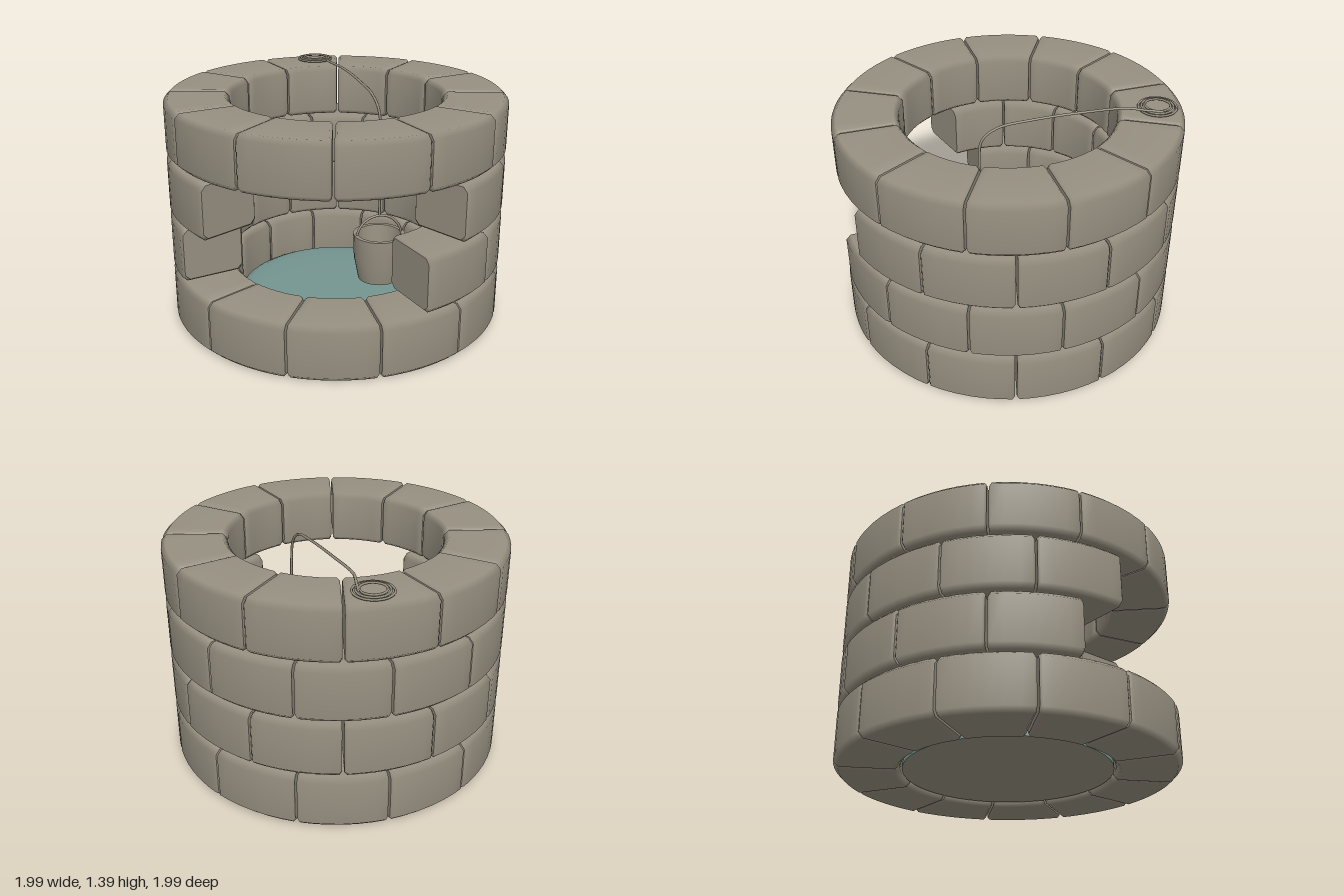
import * as THREE from 'three';

const stone = new THREE.MeshStandardMaterial({ color: 0x979081 });
stone.name = 'warm grey stone';
const water = new THREE.MeshStandardMaterial({ color: 0x759590 });
water.name = 'teal water';

const DEG = Math.PI / 180;
const INNER = 0.62, OUTER = 0.995;

// Chamfered cross-section of a stone, counter-clockwise in (radius, height)
function section(y0, y1, inset) {
  const c = 0.028;
  const a = INNER + inset, b = OUTER - inset, lo = y0 + inset, hi = y1 - inset;
  return [
    [a + c, lo], [b - c, lo], [b, lo + c], [b, hi - c],
    [b - c, hi], [a + c, hi], [a, hi - c], [a, lo + c],
  ];
}

// One curved stone swept between two angles (measured from +z towards +x)
function stoneGeometry(a0, a1, y0, y1) {
  const full = section(y0, y1, 0), end = section(y0, y1, 0.012);
  const rings = [{ t: 0, d: 0.006, s: end }];
  const steps = 6;
  for (let i = 0; i <= steps; i++) {
    const t = i / steps;
    rings.push({ t, d: i === 0 ? 0.02 : i === steps ? -0.02 : 0, s: full });
  }
  rings.push({ t: 1, d: -0.006, s: end });

  const pos = [], idx = [];
  const addRing = ({ t, d, s }) => {
    for (const [r, y] of s) {
      const a = a0 + (a1 - a0) * t + d / r;
      pos.push(r * Math.sin(a), y, r * Math.cos(a));
    }
  };
  rings.forEach(addRing);
  const n = full.length;
  for (let i = 0; i < rings.length - 1; i++) {
    for (let j = 0; j < n; j++) {
      const k = (j + 1) % n;
      const p = i * n + j, q = i * n + k, u = p + n, v = q + n;
      idx.push(p, u, v, p, v, q);
    }
  }
  // Flat end faces use their own vertices
  const startCap = rings.length * n, endCap = startCap + n;
  addRing(rings[0]);
  addRing(rings[rings.length - 1]);
  for (let j = 1; j < n - 1; j++) {
    idx.push(startCap, startCap + j, startCap + j + 1);
    idx.push(endCap, endCap + j + 1, endCap + j);
  }
  const g = new THREE.BufferGeometry();
  g.setAttribute('position', new THREE.Float32BufferAttribute(pos, 3));
  g.setIndex(idx);
  g.computeVertexNormals();
  return g;
}

function add(parent, name, geometry, material = stone) {
  const m = new THREE.Mesh(geometry, material);
  m.name = name;
  parent.add(m);
  return m;
}

const lathe = (points, segments) =>
  new THREE.LatheGeometry(points.map(([x, y]) => new THREE.Vector2(x, y)), segments);

export function createModel() {
  const group = new THREE.Group();
  group.name = 'stoneWell';

  // Four courses of stones; the middle two are broken open at the front
  const courses = [
    { y0: 0, y1: 0.325, start: 0, count: 12 },
    { y0: 0.34, y1: 0.667, start: 15, count: 9 },
    { y0: 0.683, y1: 1.01, start: 30, count: 9 },
    { y0: 1.03, y1: 1.345, start: 15, count: 12 },
  ];
  courses.forEach(({ y0, y1, start, count }, c) => {
    const course = new THREE.Group();
    course.name = 'stoneCourse' + (c + 1);
    for (let i = 0; i < count; i++) {
      const a = start + i * 30;
      add(course, 'stoneBlock', stoneGeometry(a * DEG, (a + 30) * DEG, y0, y1));
    }
    group.add(course);
  });

  // Water with a rounded rim, over a stone floor
  add(group, 'waterSurface', lathe(
    [[0.61, 0.02], [0.61, 0.045], [0.59, 0.075], [0.54, 0.1], [0.45, 0.115], [0.25, 0.12], [0, 0.12]], 48), water);
  const floor = add(group, 'wellFloor', new THREE.CircleGeometry(0.61, 48));
  floor.rotation.x = Math.PI / 2;
  floor.position.y = 0.02;

  // Open bucket with a rim and an arched handle
  const bucket = new THREE.Group();
  bucket.name = 'bucket';
  bucket.position.set(0.225, 0, 0.175);
  add(bucket, 'bucketOutside', lathe([[0.125, 0.2], [0.152, 0.34], [0.157, 0.49]], 28));
  add(bucket, 'bucketRim', lathe([[0.157, 0.49], [0.132, 0.49]], 28));
  add(bucket, 'bucketInside', lathe([[0.132, 0.49], [0.108, 0.225]], 28));
  add(bucket, 'bucketFloor', lathe([[0.108, 0.225], [0, 0.225]], 28));
  add(bucket, 'bucketBase', lathe([[0, 0.2], [0.125, 0.2]], 28));
  const handle = add(bucket, 'bucketHandle', new THREE.TorusGeometry(0.14, 0.008, 6, 24, Math.PI));
  handle.position.y = 0.465;
  group.add(bucket);

  // Rope running from the coil, over the edge and down to the handle
  const ropePath = new THREE.CurvePath();
  const v = (x, y, z) => new THREE.Vector3(x, y, z);
  ropePath.add(new THREE.CatmullRomCurve3([
    v(0.15, 1.365, -0.86), v(0.13, 1.37, -0.76), v(0.112, 1.375, -0.66),
    v(0.15, 1.378, -0.42), v(0.185, 1.355, -0.12), v(0.205, 1.32, 0.07),
    v(0.217, 1.25, 0.155), v(0.225, 1.1, 0.172), v(0.225, 0.6, 0.175),
  ], false, 'centripetal'));
  add(group, 'rope', new THREE.TubeGeometry(ropePath, 70, 0.008, 6));

  // Coil of spare rope lying on the top course
  [0.108, 0.09, 0.072].forEach((r, i) => {
    const loop = add(group, 'ropeCoil', new THREE.TorusGeometry(r, 0.007, 6, 32));
    loop.rotation.x = Math.PI / 2;
    loop.position.set(0.068, 1.357 + i * 0.005, -0.84);
  });

  return group;
}
